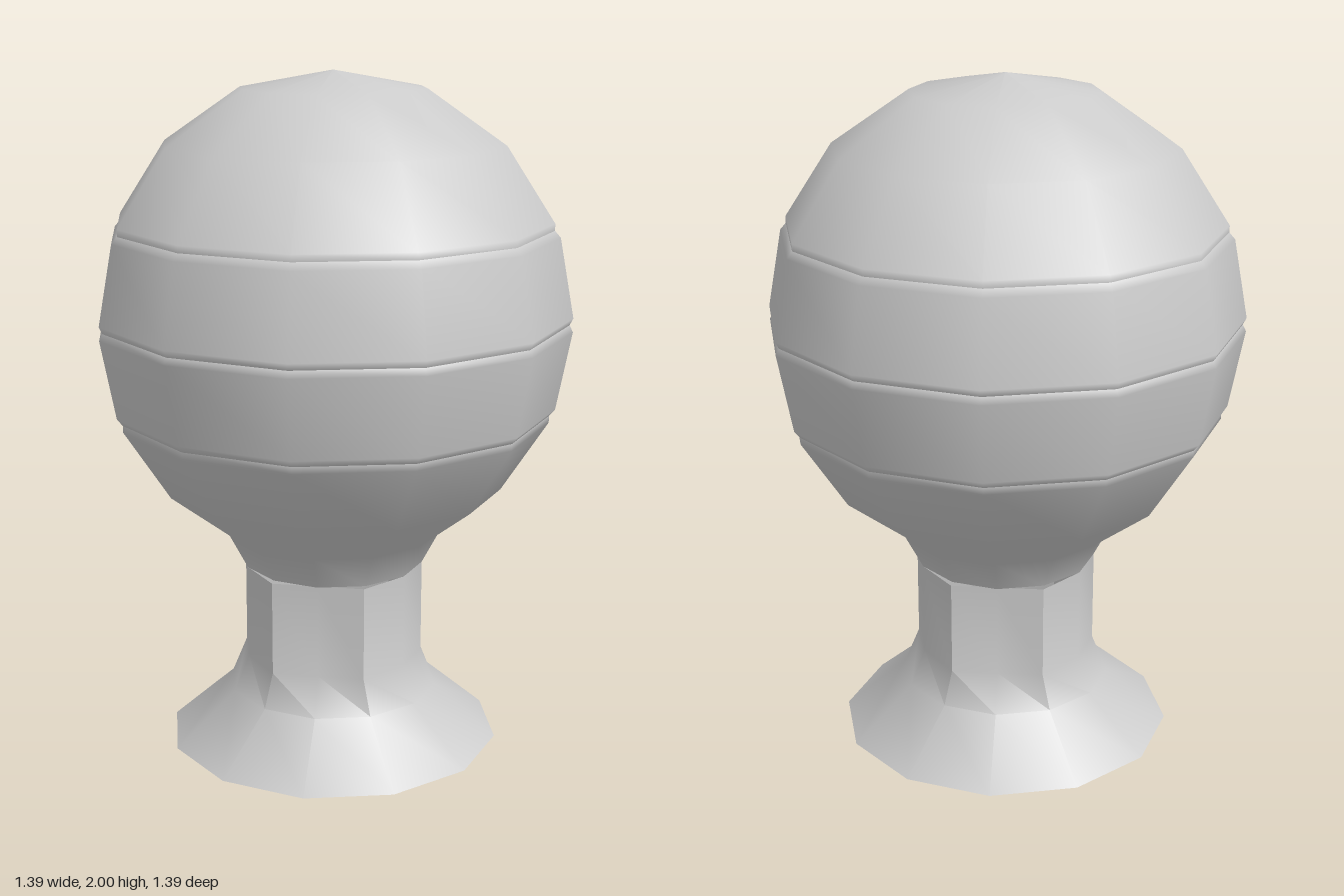
import * as THREE from 'three';
import { toCreasedNormals } from 'three/addons/utils/BufferGeometryUtils.js';

const SIDES = 12;

export function createModel() {
  const group = new THREE.Group();
  group.name = 'knob';
  const material = new THREE.MeshStandardMaterial({ color: 0xcccccc, side: THREE.DoubleSide });

  // Turned section: profile of [radius, height], bottom to top
  const turned = (profile) =>
    new THREE.LatheGeometry(profile.map(([r, y]) => new THREE.Vector2(r, y)), SIDES);
  const add = (name, geometry) => {
    const mesh = new THREE.Mesh(geometry, material);
    mesh.name = name;
    group.add(mesh);
  };

  // Flared foot and neck, open underneath, with flats on front and back of the neck
  const stem = turned([[0.5, 0], [0.315, 0.16], [0.27, 0.27], [0.27, 0.55]]);
  const p = stem.attributes.position;
  for (let i = 0; i < p.count; i++) {
    const x = p.getX(i), z = p.getZ(i);
    if (p.getY(i) > 0.2 && Math.abs(x) < 0.14) p.setZ(i, 0.26 * Math.sign(z));
  }
  add('footAndNeck', toCreasedNormals(stem, 0.7));

  // Round head: lower bowl, two raised bands and the crown, parted by fine grooves
  add('bowl', turned([[0.27, 0.55], [0.325, 0.655], [0.5, 0.79], [0.635, 1.0], [0.635, 1.02]]));
  add('lowerBand', turned([[0.635, 1.02], [0.652, 1.04], [0.695, 1.27], [0.685, 1.29]]));
  add('upperBand', turned([[0.685, 1.29], [0.695, 1.31], [0.652, 1.54], [0.635, 1.56]]));
  add('crown', turned([[0.635, 1.56], [0.635, 1.58], [0.495, 1.795], [0.27, 1.95], [0, 2]]));

  return group;
}
